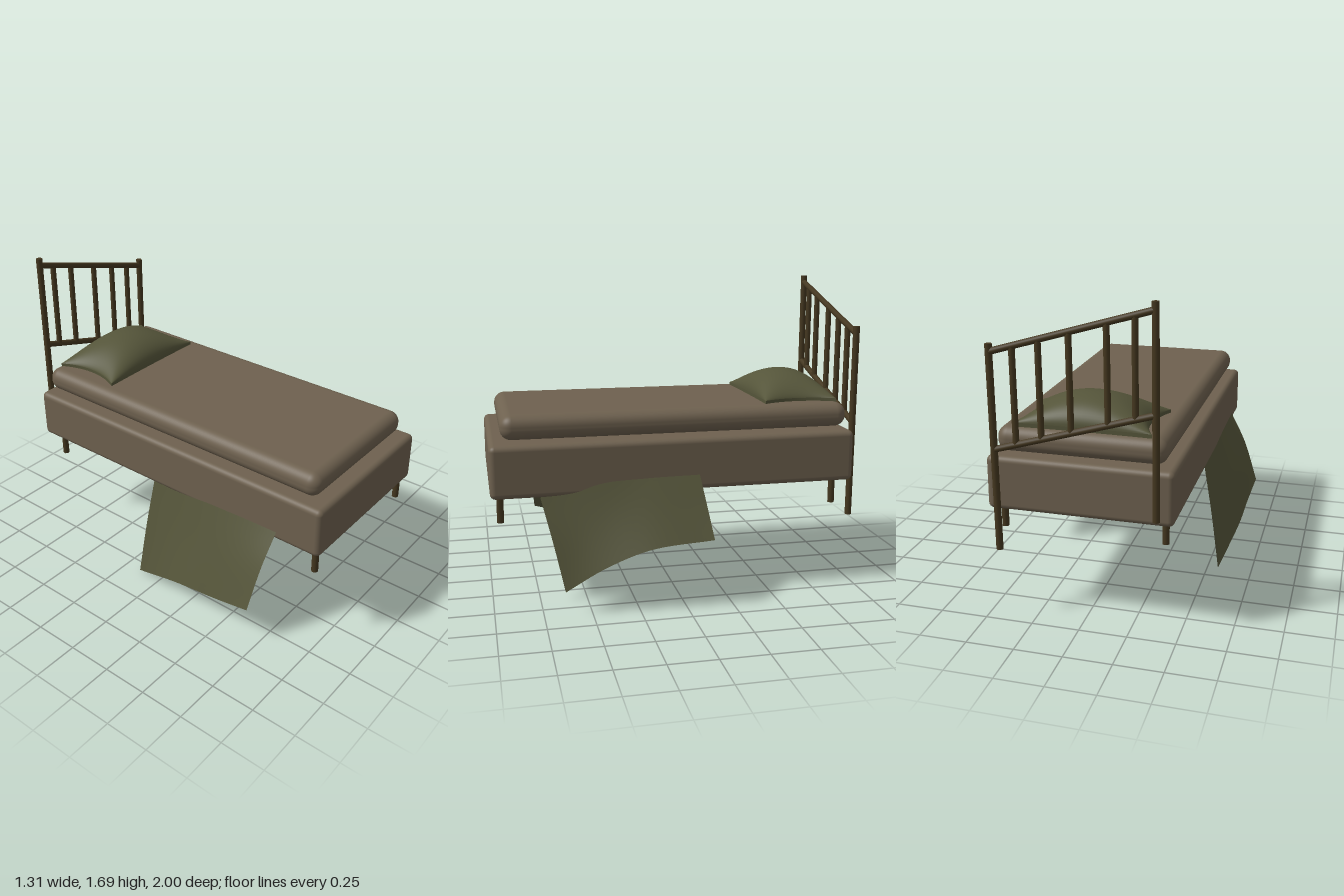
import * as THREE from 'three';
import { RoundedBoxGeometry } from 'three/addons/geometries/RoundedBoxGeometry.js';

const linen = new THREE.MeshStandardMaterial({ color: 0x6e614f });
const wood = new THREE.MeshStandardMaterial({ color: 0x44371f });
const green = new THREE.MeshStandardMaterial({ color: 0x55553a });
const blanketGreen = new THREE.MeshStandardMaterial({ color: 0x55553a, side: THREE.DoubleSide });

function add(parent, name, geometry, material, x = 0, y = 0, z = 0) {
  const mesh = new THREE.Mesh(geometry, material);
  mesh.name = name;
  mesh.position.set(x, y, z);
  parent.add(mesh);
  return mesh;
}

// Round bar between two points
function bar(parent, name, a, b, radius) {
  const from = new THREE.Vector3(...a), to = new THREE.Vector3(...b);
  const dir = to.clone().sub(from);
  const mesh = add(parent, name, new THREE.CylinderGeometry(radius, radius, dir.length(), 12), wood);
  mesh.position.copy(from).add(to).multiplyScalar(0.5);
  mesh.quaternion.setFromUnitVectors(new THREE.Vector3(0, 1, 0), dir.normalize());
}

// Smooth cloth through strands of points, each running from top to hem
function cloth(strands) {
  const n = 20;
  const curve = (pts) => new THREE.CatmullRomCurve3(pts);
  const curves = strands.map((s) => curve(s.map((p) => new THREE.Vector3(...p))));
  const geometry = new THREE.PlaneGeometry(1, 1, n, n);
  const pos = geometry.attributes.position;
  for (let j = 0; j <= n; j++) {
    const row = curve(curves.map((c) => c.getPoint(j / n)));
    for (let i = 0; i <= n; i++) {
      const p = row.getPoint(i / n);
      pos.setXYZ(j * (n + 1) + i, p.x, p.y, p.z);
    }
  }
  geometry.computeVertexNormals();
  return geometry;
}

// Domed pillow with pinched ends and a flat underside
function pillowGeometry() {
  const geometry = new THREE.BoxGeometry(2, 2, 2, 32, 1, 32);
  const pos = geometry.attributes.position;
  for (let i = 0; i < pos.count; i++) {
    const u = Math.sin(pos.getX(i) * Math.PI / 2);
    const v = Math.sin(pos.getZ(i) * Math.PI / 2);
    const dome = Math.pow(Math.max(0, 1 - u * u), 0.7) * Math.sqrt(Math.max(0, 1 - v * v));
    const pinch = 1 - 0.15 * (1 - v * v);
    const y = pos.getY(i) > 0 ? 0.03 + 0.13 * dome : 0;
    pos.setXYZ(i, 0.35 * u * pinch, y, 0.205 * v * (1 - 0.02 * (1 - u * u)));
  }
  geometry.computeVertexNormals();
  return geometry;
}

export function createModel() {
  const bed = new THREE.Group();
  bed.name = 'bed';

  // Base, mattress and pillow
  add(bed, 'bedBase', new RoundedBoxGeometry(0.95, 0.28, 1.975, 5, 0.03), linen, 0, 0.74, 0.0125);
  add(bed, 'mattress', new RoundedBoxGeometry(0.86, 0.132, 1.89, 8, 0.06), linen, 0, 0.959, -0.007);
  add(bed, 'pillow', pillowGeometry(), green, 0, 1.012, -0.707);

  // Short legs
  for (const x of [-0.415, 0.425]) {
    for (const z of [0.95, -0.87]) {
      add(bed, 'leg', new THREE.CylinderGeometry(0.018, 0.018, 0.16, 12), wood, x, 0.55, z);
    }
  }

  // Skewed headboard, sloping down towards +x
  const headboard = new THREE.Group();
  headboard.name = 'headboard';
  bed.add(headboard);
  const z = -0.981;
  const topY = (x) => 1.535 - 0.297 * x;
  const lowY = (x) => topY(x) - 0.49;
  bar(headboard, 'post', [-0.392, 0.63, z], [-0.38, 1.687, z], 0.018);
  bar(headboard, 'post', [0.415, 0.39, z], [0.427, 1.447, z], 0.018);
  bar(headboard, 'topRail', [-0.38, topY(-0.38), z], [0.425, topY(0.425), z], 0.017);
  bar(headboard, 'lowerRail', [-0.386, lowY(-0.386), z], [0.42, lowY(0.42), z], 0.017);
  for (const x of [-0.285, -0.152, 0.03, 0.18, 0.31]) {
    bar(headboard, 'spindle', [x - 0.005, lowY(x), z], [x, topY(x), z], 0.016);
  }

  // Blanket hanging out on both sides
  add(bed, 'leftBlanketDrape', cloth([
    [[0.47, 0.69, -0.1], [0.55, 0.54, -0.12], [0.65, 0.37, -0.14]],
    [[0.47, 0.685, 0.2], [0.555, 0.52, 0.2], [0.65, 0.34, 0.2]],
    [[0.47, 0.67, 0.45], [0.54, 0.47, 0.45], [0.625, 0.25, 0.43]],
    [[0.455, 0.6, 0.745], [0.52, 0.37, 0.69], [0.57, 0.115, 0.635]],
  ]), blanketGreen);
  add(bed, 'rightBlanketDrape', cloth([
    [[-0.475, 0.65, 0.745], [-0.57, 0.47, 0.725], [-0.655, 0.23, 0.7]],
    [[-0.472, 0.65, 0.45], [-0.555, 0.42, 0.45], [-0.635, 0.17, 0.45]],
    [[-0.47, 0.64, 0.2], [-0.54, 0.4, 0.2], [-0.625, 0.13, 0.2]],
    [[-0.455, 0.61, -0.1], [-0.51, 0.32, -0.125], [-0.56, 0, -0.15]],
  ]), blanketGreen);

  return bed;
}
